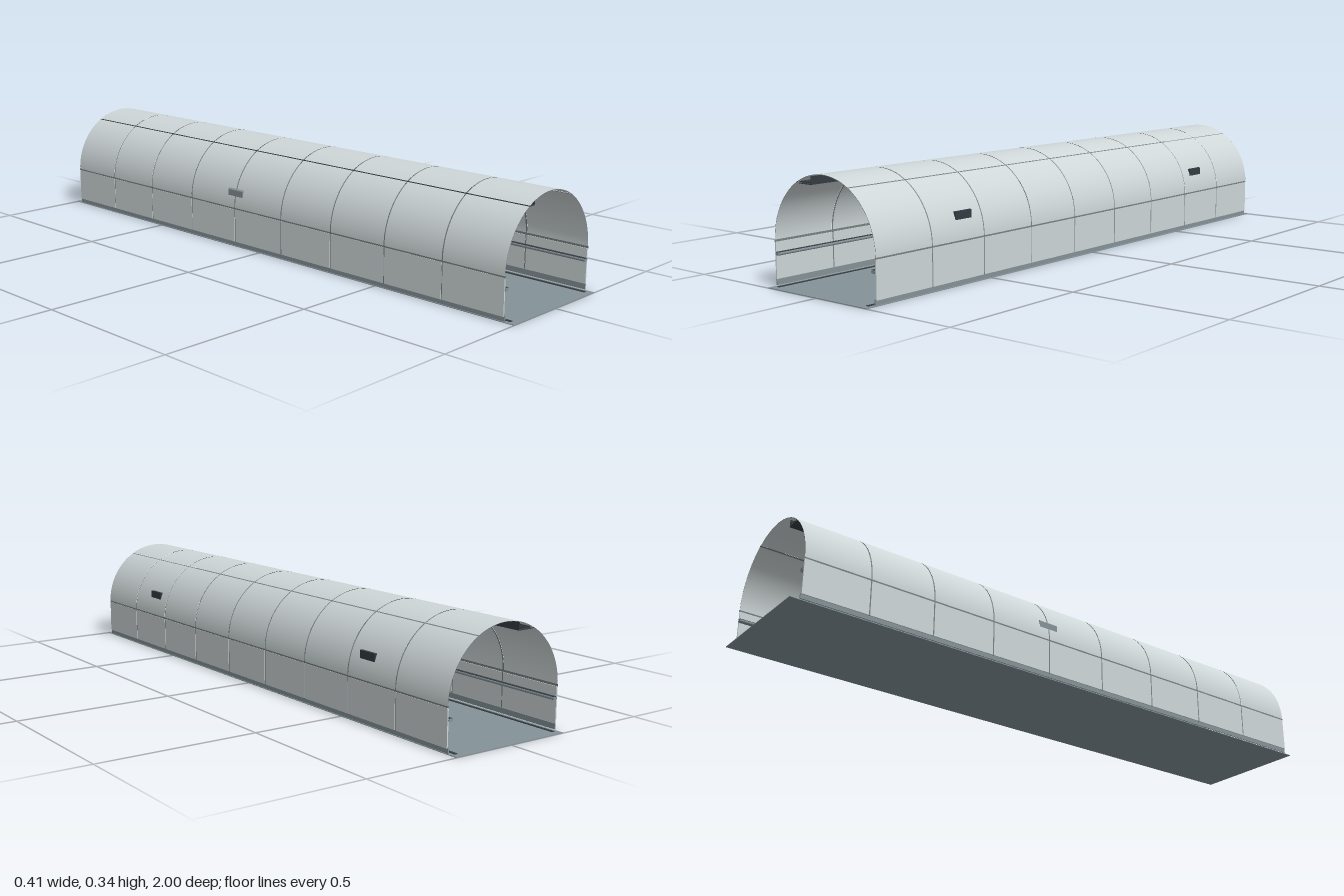
import * as THREE from 'three';

const mat = (name, color) => {
  const m = new THREE.MeshStandardMaterial({ color, side: THREE.DoubleSide });
  m.name = name;
  return m;
};

export function createModel() {
  const root = new THREE.Group();
  root.name = 'tunnelSection';
  const panelGrey = mat('panelGrey', 0xced6d7);
  const deckGrey = mat('deckGrey', 0x849297);
  const seamGrey = mat('seamGrey', 0x7a8284);
  const darkGrey = mat('darkGrey', 0x363c42);

  const R = 0.206, CY = 0.131, LEN = 1.94, N = 9, GAP = 0.004;
  const pitch = LEN / N, TRAY = LEN - 0.03;

  const add = (name, geo, material, x = 0, y = 0, z = 0, parent = root) => {
    const m = new THREE.Mesh(geo, material);
    m.name = name;
    m.position.set(x, y, z);
    parent.add(m);
    return m;
  };
  // box given by its x and y limits, its length in z and its centre in z
  const bar = (name, material, x0, x1, y0, y1, len, z = 0, parent = root) =>
    add(name, new THREE.BoxGeometry(Math.abs(x1 - x0), y1 - y0, len), material,
      (x0 + x1) / 2, (y0 + y1) / 2, z, parent);
  // open piece of vault, angle measured from +x over the top to -x
  const vault = (name, material, r, a0, a1, len, z, segs) => {
    const g = new THREE.CylinderGeometry(r, r, len, segs, 1, true, Math.PI / 2 + a0, a1 - a0);
    g.rotateX(Math.PI / 2);
    return add(name, g, material, 0, CY, z);
  };

  // floor deck
  bar('floorDeck', deckGrey, -0.201, 0.201, 0, 0.002, 2);

  // curved roof panels and flat wall panels, with narrow joints between
  const da = GAP / 2 / R;
  for (let i = 0; i < N; i++) {
    const z = -LEN / 2 + (i + 0.5) * pitch;
    for (let k = 0; k < 3; k++)
      vault('roofPanel', panelGrey, R, k * Math.PI / 3 + da, (k + 1) * Math.PI / 3 - da, pitch - GAP, z, 16);
    for (const s of [-1, 1])
      bar('wallPanel', panelGrey, s * 0.202, s * 0.206, 0.018, 0.128, pitch - GAP, z);
  }

  // joint strips lying just inside the panels
  for (let i = 1; i < N; i++) {
    const z = -LEN / 2 + i * pitch;
    vault('roofJointRing', seamGrey, R - 0.0012, 0, Math.PI, GAP + 0.001, z, 48);
    for (const s of [-1, 1])
      bar('wallJoint', seamGrey, s * 0.2025, s * 0.2045, 0.018, 0.13, GAP + 0.001, z);
  }
  for (const [a, half, m] of [
    [0, 0.018, seamGrey], [Math.PI / 3, da * 1.2, seamGrey],
    [2 * Math.PI / 3, da * 1.2, darkGrey], [Math.PI, 0.018, seamGrey],
  ])
    vault('longJoint', m, R - 0.0012, a - half, a + half, LEN, 0, 2);

  // thin rims closing the two roof ends
  for (const s of [-1, 1])
    add('roofRim', new THREE.RingGeometry(R - 0.0012, R, 48, 1, 0, Math.PI), seamGrey, 0, CY, s * (LEN / 2 - GAP / 2));

  // skirtings, floor strips and handrails on both sides
  const rail = new THREE.Shape();
  rail.absellipse(-0.003, 0, 0.0042, 0.0048, Math.PI / 2, Math.PI * 1.5);
  rail.absellipse(0.003, 0, 0.0042, 0.0048, -Math.PI / 2, Math.PI / 2);
  const railGeo = new THREE.ExtrudeGeometry(rail, { depth: LEN, bevelEnabled: false, curveSegments: 5 });
  railGeo.translate(0, 0, -LEN / 2);
  for (const s of [-1, 1]) {
    bar('skirting', deckGrey, s * 0.199, s * 0.2025, 0.004, 0.021, LEN);
    bar('floorStrip', darkGrey, s * 0.178, s * 0.188, 0.002, 0.0035, 1.96);
    add('handrail', railGeo, deckGrey, s * 0.196, 0.0945, 0);
    bar('handrailTrim', darkGrey, s * 0.1905, s * 0.2015, 0.0988, 0.0998, LEN);
  }

  // overhead tray carrying four cables
  const tray = new THREE.Group();
  tray.name = 'cableTray';
  root.add(tray);
  bar('trayBase', darkGrey, -0.1105, -0.06, 0.302, 0.304, TRAY, 0, tray);
  bar('traySide', darkGrey, -0.0612, -0.0595, 0.302, 0.3262, TRAY, 0, tray);
  const cable = new THREE.CylinderGeometry(0.0022, 0.0022, TRAY, 8).rotateX(Math.PI / 2);
  for (let i = 0; i < 4; i++) add('cable', cable, darkGrey, -0.1005 + i * 0.0108, 0.3085, 0, tray);

  // louvred vents on the +x side
  for (const z of [-0.617, 0.617]) {
    const vent = new THREE.Group();
    vent.name = 'vent';
    root.add(vent);
    bar('ventCasing', darkGrey, 0.186, 0.197, 0.175, 0.215, 0.068, z, vent);
    for (let i = 0; i < 7; i++) {
      const slat = bar('ventSlat', darkGrey, 0.181, 0.189, -0.0008, 0.0008, 0.064, z, vent);
      slat.position.y = 0.18 + i * 0.005;
      slat.rotation.z = 0.4;
    }
  }

  // control cabinet on the -x wall
  const cabinet = new THREE.Group();
  cabinet.name = 'controlCabinet';
  root.add(cabinet);
  const w = 0.01, h = 0.04, c = 0.004;
  const outline = new THREE.Shape([
    [-w, -h + c], [-w + c, -h], [w - c, -h], [w, -h + c],
    [w, h - c], [w - c, h], [-w + c, h], [-w, h - c],
  ].map(([x, y]) => new THREE.Vector2(x, y)));
  const caseGeo = new THREE.ExtrudeGeometry(outline, { depth: 0.068, bevelEnabled: false });
  add('cabinetCase', caseGeo, deckGrey, -0.192, 0.155, -0.142, cabinet);
  bar('cabinetDoor', darkGrey, -0.182, -0.1795, 0.119, 0.191, 0.06, -0.108, cabinet);

  return root;
}
